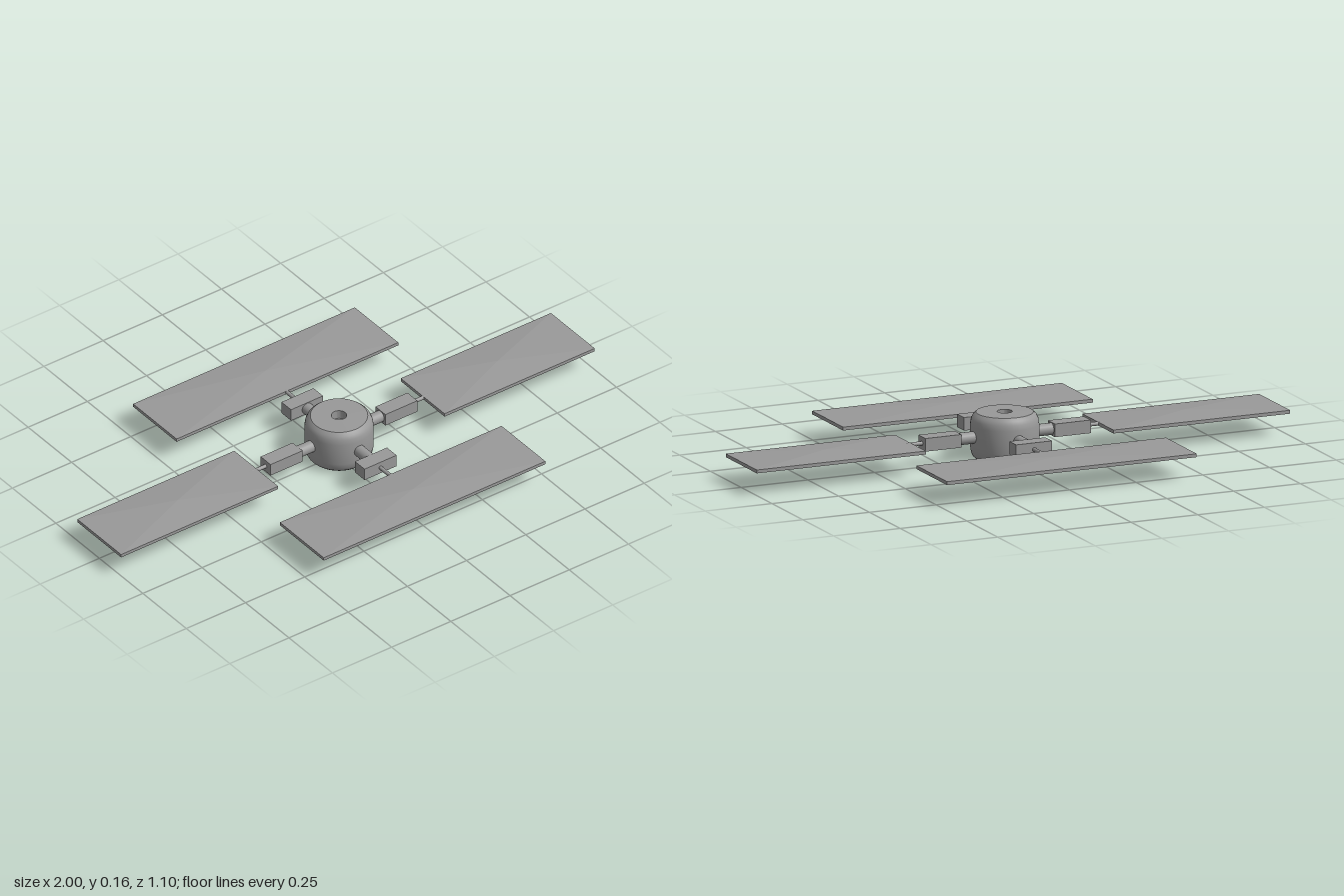
import * as THREE from 'three';
import { toCreasedNormals } from 'three/addons/utils/BufferGeometryUtils.js';

const AXIS_Y = 0.084; // height of the arms and panels
const CX = 0.012; // hub centre in x

export function createModel() {
  const model = new THREE.Group();
  const grey = new THREE.MeshStandardMaterial({ color: 0x999999 });
  grey.name = 'grey metal';

  function add(name, geometry, x, y, z, parent = model) {
    const mesh = new THREE.Mesh(geometry, grey);
    mesh.name = name;
    mesh.position.set(x, y, z);
    parent.add(mesh);
    return mesh;
  }

  // Hub: rounded drum with a round recess in each end
  const upper = [[0.118, 0.04], [0.115, 0.058], [0.109, 0.071], [0.098, 0.081],
    [0.026, 0.082], [0.026, 0.05], [0, 0.05]];
  const lower = upper.map(([r, y]) => [r, -y]).reverse();
  const profile = [...lower, ...upper].map(([r, y]) => new THREE.Vector2(r, y));
  const hub = toCreasedNormals(new THREE.LatheGeometry(profile, 40), 0.6);
  add('hub', hub, CX, 0.082, 0);

  // Four arms, each with a collar tube, a joint block and a thin rod; built along +x
  function addArm(name, angle, blockLength, blockWidth, blockStart, rodEnd) {
    const arm = new THREE.Group();
    arm.name = name;
    arm.position.set(CX, AXIS_Y, 0);
    arm.rotation.y = angle;
    const tube = (part, radius, from, to) => {
      const geometry = new THREE.CylinderGeometry(radius, radius, to - from, 20);
      add(part, geometry.rotateZ(Math.PI / 2), (from + to) / 2, 0, 0, arm);
    };
    const blockEnd = blockStart + blockLength;
    tube('armTube', 0.021, 0.09, blockStart + 0.005);
    add('jointBlock', new THREE.BoxGeometry(blockLength, 0.046, blockWidth),
      (blockStart + blockEnd) / 2, 0, 0, arm);
    tube('panelRod', 0.007, blockEnd - 0.005, rodEnd);
    model.add(arm);
  }
  addArm('leftArm', 0, 0.135, 0.057, 0.175, 0.38);
  addArm('rightArm', Math.PI, 0.135, 0.057, 0.175, 0.38);
  addArm('frontArm', -Math.PI / 2, 0.055, 0.135, 0.184, 0.32);
  addArm('backArm', Math.PI / 2, 0.055, 0.135, 0.184, 0.32);

  // Panels: four-sided plates, thickest at the centre
  function addPanel(name, x0, x1, z0, z1) {
    const section = [[0, -0.017], [Math.SQRT1_2, -0.006], [Math.SQRT1_2, 0.006], [0, 0.017]]
      .map(([r, y]) => new THREE.Vector2(r, y));
    const geometry = new THREE.LatheGeometry(section, 4)
      .rotateY(Math.PI / 4)
      .scale(x1 - x0, 1, z1 - z0)
      .toNonIndexed();
    geometry.computeVertexNormals();
    add(name, geometry, (x0 + x1) / 2, AXIS_Y, (z0 + z1) / 2);
  }
  addPanel('leftPanel', 0.366, 1, -0.127, 0.125);
  addPanel('rightPanel', -1, -0.337, -0.127, 0.125);
  addPanel('frontPanel', -0.455, 0.481, 0.296, 0.548);
  addPanel('backPanel', -0.455, 0.481, -0.548, -0.298);

  return model;
}
